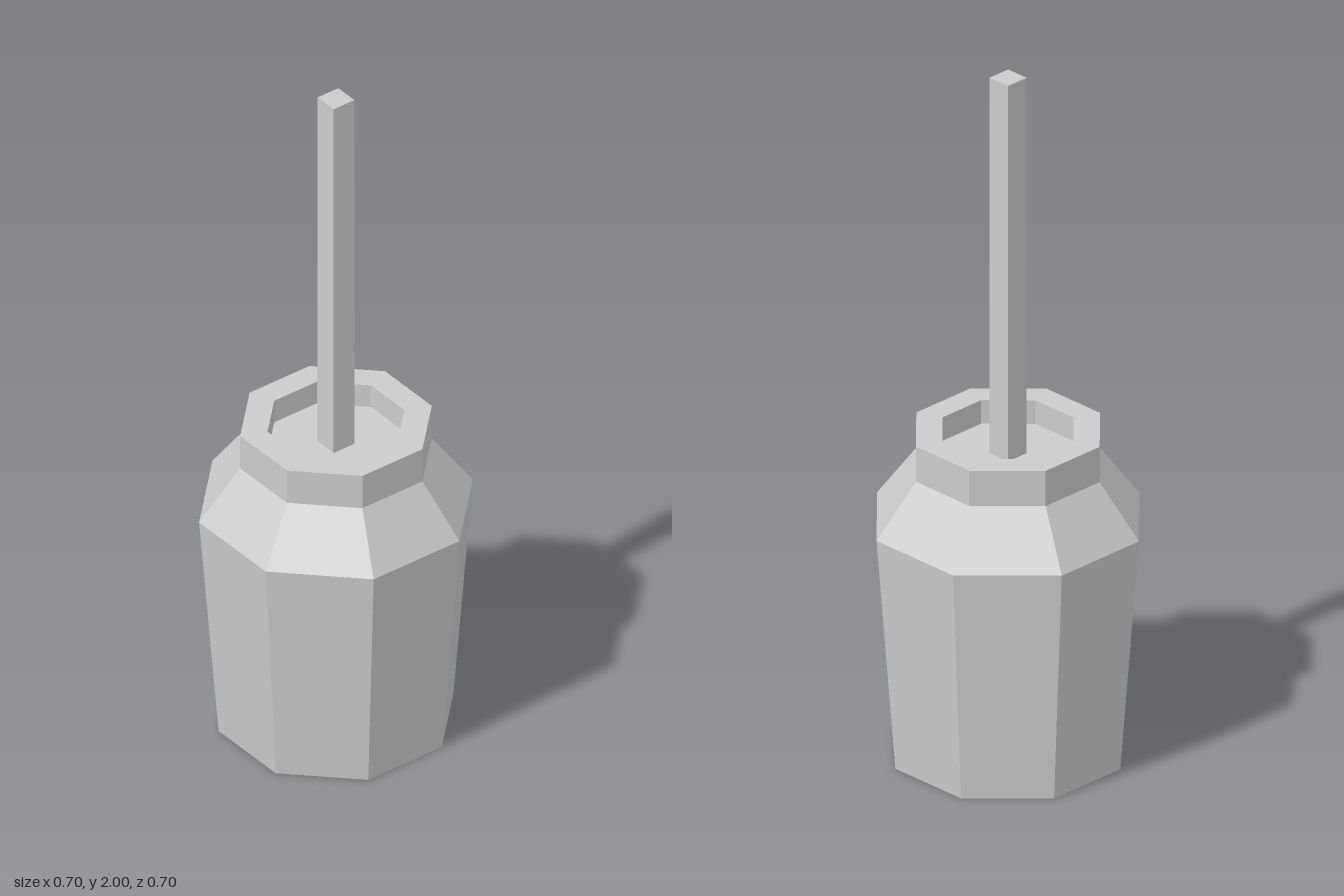
import * as THREE from 'three';

const SIDES = 8;

export function createModel() {
  const group = new THREE.Group();
  const material = new THREE.MeshStandardMaterial({ color: 0xcccccc, flatShading: true });

  // Octagonal jar: [half width across flats, height], from base centre round to the recessed floor
  const profile = [
    [0, 0], [0.3, 0],          // base
    [0.35, 0.69],              // flared wall
    [0.245, 0.845],            // shoulder
    [0.245, 0.95],             // neck
    [0.175, 0.95],             // rim
    [0.175, 0.88], [0, 0.88],  // recess
  ];
  const toCorner = 1 / Math.cos(Math.PI / SIDES);
  const points = profile.map(([r, y]) => new THREE.Vector2(r * toCorner, y));
  const jar = new THREE.Mesh(new THREE.LatheGeometry(points, SIDES, Math.PI / SIDES), material);
  jar.name = 'jar';
  group.add(jar);

  // Square handle rising from the recess
  const handle = new THREE.Mesh(new THREE.BoxGeometry(0.07, 1.12, 0.07), material);
  handle.name = 'handle';
  handle.position.y = 1.44;
  group.add(handle);

  return group;
}
